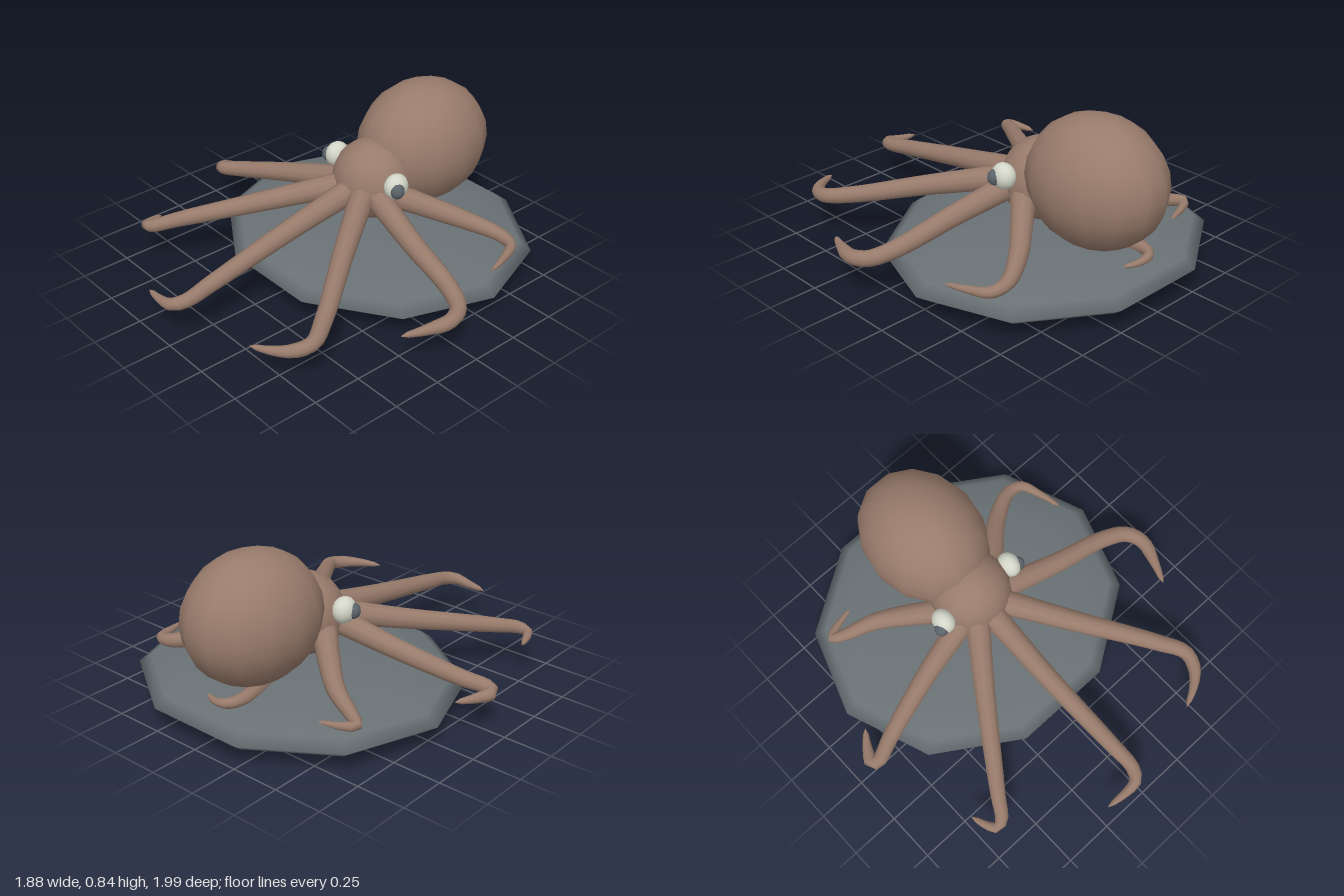
import * as THREE from 'three';

const material = (name, color) => {
  const m = new THREE.MeshStandardMaterial({ color });
  m.name = name;
  return m;
};

// Squashed sphere: centre, radii, number of sides and rings
function ellipsoid(name, mat, [x, y, z], [rx, ry, rz], sides, rings) {
  const geo = new THREE.SphereGeometry(1, sides, rings);
  geo.scale(rx, ry, rz);
  const mesh = new THREE.Mesh(geo, mat);
  mesh.name = name;
  mesh.position.set(x, y, z);
  return mesh;
}

// Tapered tube along a curve; radius is interpolated between evenly spaced stops
function arm(name, mat, points, radii) {
  const curve = new THREE.CatmullRomCurve3(points.map((p) => new THREE.Vector3(...p)));
  const segs = 36, sides = 10;
  const geo = new THREE.TubeGeometry(curve, segs, 1, sides, false);
  const pos = geo.attributes.position;
  const v = new THREE.Vector3();
  for (let i = 0; i <= segs; i++) {
    const t = i / segs;
    const f = t * (radii.length - 1);
    const k = Math.min(Math.floor(f), radii.length - 2);
    const r = i === segs ? 0.001 : THREE.MathUtils.lerp(radii[k], radii[k + 1], f - k);
    const centre = curve.getPointAt(t);
    for (let j = 0; j <= sides; j++) {
      const n = i * (sides + 1) + j;
      v.fromBufferAttribute(pos, n).sub(centre).multiplyScalar(r).add(centre);
      pos.setXYZ(n, v.x, v.y, v.z);
    }
  }
  const mesh = new THREE.Mesh(geo, mat);
  mesh.name = name;
  return mesh;
}

export function createModel() {
  const skin = material('brown skin', 0x987b6b);
  const stone = material('grey stone', 0x697175);
  const white = material('eye white', 0xd3d6c8);
  const dark = material('eye grey', 0x5c646b);

  const model = new THREE.Group();
  model.name = 'octopus';

  // Flat ten-sided rock
  model.add(ellipsoid('rock', stone, [0, 0.117, -0.29], [0.83, 0.117, 0.747], 10, 8));

  // Body and head
  model.add(ellipsoid('mantle', skin, [0, 0.525, -0.605], [0.298, 0.32, 0.365], 14, 12));
  model.add(ellipsoid('head', skin, [0, 0.425, -0.265], [0.208, 0.205, 0.205], 16, 12));

  // Eyes
  for (const [side, s] of [['left', 1], ['right', -1]]) {
    model.add(ellipsoid(side + 'Eye', white, [s * 0.218, 0.485, -0.217], [0.054, 0.066, 0.066], 14, 10));
    model.add(ellipsoid(side + 'Pupil', dark, [s * 0.254, 0.482, -0.193], [0.034, 0.04, 0.037], 12, 10));
  }

  // Eight arms, each spreading down from the head and curling at the tip
  const front = [0.066, 0.058, 0.052, 0.047, 0.042, 0.034, 0.01];
  const rear = [0.066, 0.058, 0.052, 0.044, 0.034, 0.022, 0.009];
  const arms = {
    frontArm: [front, [0, 0.41, -0.14], [-0.005, 0.325, 0.3], [0.005, 0.24, 0.75],
      [0.005, 0.21, 0.9], [-0.03, 0.198, 0.955], [-0.1, 0.186, 0.962], [-0.215, 0.18, 0.953]],
    frontLeftArm: [front, [0.06, 0.41, -0.15], [0.3, 0.325, 0.19], [0.55, 0.23, 0.53],
      [0.625, 0.205, 0.66], [0.6, 0.193, 0.745], [0.53, 0.186, 0.81], [0.43, 0.18, 0.86]],
    frontRightArm: [front, [-0.06, 0.41, -0.15], [-0.3, 0.325, 0.17], [-0.57, 0.235, 0.55],
      [-0.64, 0.207, 0.65], [-0.68, 0.195, 0.66], [-0.71, 0.187, 0.61], [-0.732, 0.18, 0.535]],
    leftArm: [front, [0.12, 0.4, -0.18], [0.45, 0.315, -0.11], [0.75, 0.24, -0.06],
      [0.865, 0.212, -0.005], [0.9, 0.2, 0.08], [0.87, 0.19, 0.19], [0.82, 0.182, 0.31]],
    rightArm: [front, [-0.12, 0.4, -0.18], [-0.45, 0.315, -0.11], [-0.76, 0.235, -0.02],
      [-0.885, 0.207, 0.025], [-0.91, 0.197, 0.005], [-0.875, 0.188, -0.07], [-0.82, 0.182, -0.15]],
    backLeftArm: [rear, [0.13, 0.39, -0.26], [0.27, 0.325, -0.39], [0.42, 0.26, -0.52],
      [0.57, 0.215, -0.602], [0.655, 0.2, -0.59], [0.7, 0.19, -0.49], [0.73, 0.182, -0.375]],
    backRightArm: [rear, [-0.13, 0.39, -0.26], [-0.28, 0.325, -0.4], [-0.43, 0.26, -0.52],
      [-0.57, 0.215, -0.583], [-0.635, 0.2, -0.622], [-0.58, 0.19, -0.653], [-0.465, 0.182, -0.685]],
    backArm: [rear, [0, 0.37, -0.3], [-0.03, 0.27, -0.45], [-0.08, 0.22, -0.65],
      [-0.11, 0.215, -0.8], [-0.08, 0.21, -0.865], [-0.01, 0.2, -0.87], [0.07, 0.195, -0.84]],
  };
  for (const [name, [radii, ...points]] of Object.entries(arms)) {
    model.add(arm(name, skin, points, radii));
  }

  return model;
}
